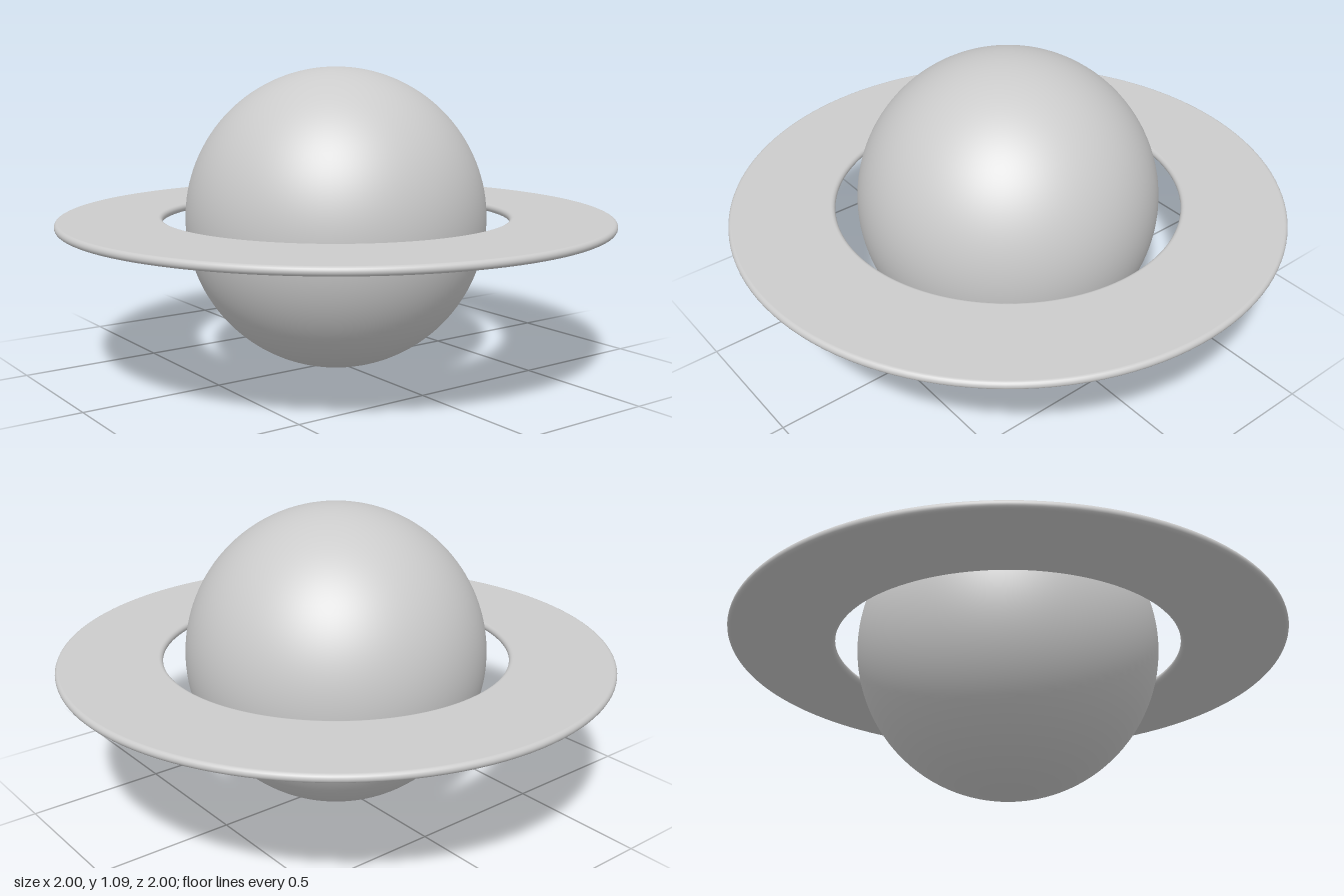
import * as THREE from 'three';

const PLANET_RADIUS = 0.545;
const RING_INNER = 0.625;
const RING_OUTER = 1;
const RING_HALF = 0.015; // half thickness, also the radius of the rounded rims

// Flat ring with fully rounded inner and outer rims, as a closed profile
function ringGeometry() {
  const points = [new THREE.Vector2((RING_INNER + RING_OUTER) / 2, -RING_HALF)];
  const addRim = (centre, start) => {
    const steps = 10;
    for (let i = 0; i <= steps; i++) {
      const a = start + (Math.PI * i) / steps;
      points.push(new THREE.Vector2(centre + RING_HALF * Math.cos(a), RING_HALF * Math.sin(a)));
    }
  };
  addRim(RING_OUTER - RING_HALF, -Math.PI / 2);
  addRim(RING_INNER + RING_HALF, Math.PI / 2);
  points.push(points[0].clone());
  return new THREE.LatheGeometry(points, 128);
}

export function createModel() {
  const group = new THREE.Group();
  group.name = 'ringedPlanet';
  const material = new THREE.MeshStandardMaterial({ color: 0xcccccc });

  const add = (name, geometry) => {
    const mesh = new THREE.Mesh(geometry, material);
    mesh.name = name;
    mesh.position.y = PLANET_RADIUS;
    group.add(mesh);
  };

  add('planet', new THREE.SphereGeometry(PLANET_RADIUS, 96, 64));
  add('ring', ringGeometry());
  return group;
}
